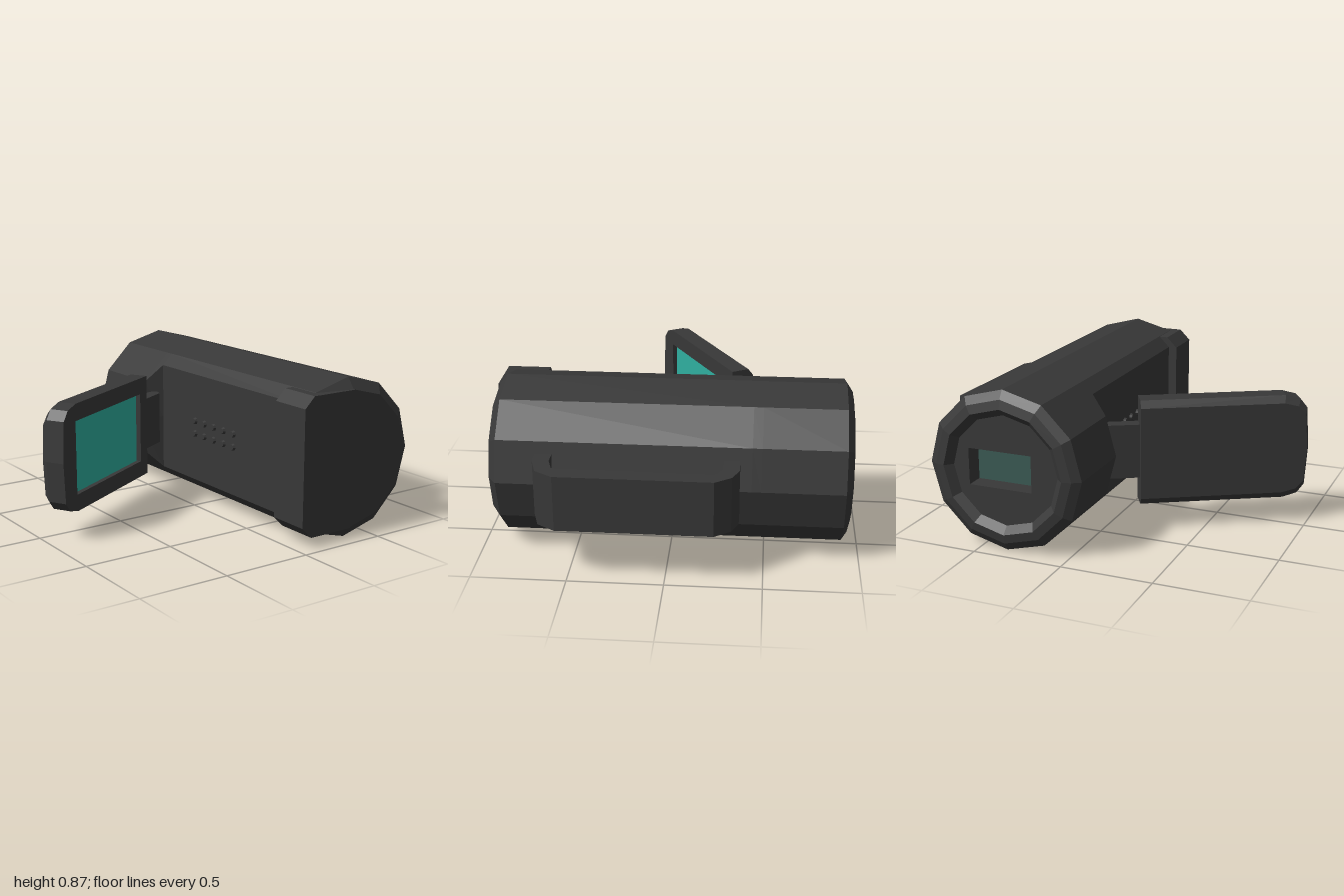
import * as THREE from 'three';

const CX = 0.35, CY = 0.435, CUT = 0.07;
const mat = (color) => new THREE.MeshStandardMaterial({ color, flatShading: true });
const dark = mat(0x383838);
const teal = mat(0x2fb0a0);
const dimTeal = mat(0x3a5a54);

function add(parent, name, geometry, material = dark) {
  const mesh = new THREE.Mesh(geometry, material);
  mesh.name = name;
  parent.add(mesh);
  return mesh;
}

const toShape = (pts) => new THREE.Shape(pts.map(([x, y]) => new THREE.Vector2(x, y)));

const rectPath = (x0, y0, x1, y1) =>
  new THREE.Path([[x0, y0], [x0, y1], [x1, y1], [x1, y0]].map((p) => new THREE.Vector2(...p)));

function extrudeZ(shape, z0, z1) {
  return new THREE.ExtrudeGeometry(shape, { depth: z1 - z0, bevelEnabled: false }).translate(0, 0, z0);
}

// Plan outline given as [x, z], extruded upward from y0 to y1
function extrudeY(pts, y0, y1) {
  return extrudeZ(toShape(pts.map(([x, z]) => [x, -z])), y0, y1).rotateX(-Math.PI / 2);
}

// Skin through counter-clockwise rings { z, pts }, from low to high z
function loft(rings, capStart, capEnd) {
  const pos = [];
  const n = rings[0].pts.length;
  const at = (r, i) => [...r.pts[i % n], r.z];
  const cap = (r, flip) => {
    const c = [0, 1].map((k) => r.pts.reduce((s, p) => s + p[k], 0) / n);
    for (let i = 0; i < n; i++) {
      const a = at(r, i), b = at(r, i + 1);
      pos.push(...c, r.z, ...(flip ? b : a), ...(flip ? a : b));
    }
  };
  for (let k = 0; k + 1 < rings.length; k++) {
    for (let i = 0; i < n; i++) {
      const a = at(rings[k], i), b = at(rings[k], i + 1);
      const c = at(rings[k + 1], i + 1), d = at(rings[k + 1], i);
      pos.push(...a, ...b, ...c, ...a, ...c, ...d);
    }
  }
  if (capStart) cap(rings[0], true);
  if (capEnd) cap(rings[rings.length - 1], false);
  const g = new THREE.BufferGeometry();
  g.setAttribute('position', new THREE.Float32BufferAttribute(pos, 3));
  g.computeVertexNormals();
  return g;
}

// Twelve-sided ring; when cut, its right side is sliced flat at x = CUT
function bodyRing(z, r, cut = false) {
  const pts = [];
  for (let i = 0; i < 12; i++) {
    const a = (i * Math.PI) / 6;
    let x = CX + r * Math.cos(a), y = r * Math.sin(a);
    if (cut && x < CUT) {
      x = CUT;
      y = (6 - i) * (r * 0.866 - (CX - 0.5 * r - CUT));
    }
    pts.push([x, CY + y]);
  }
  return { z, pts };
}

function addBody(model) {
  add(model, 'body', loft([
    bodyRing(-0.91, 0.3), bodyRing(-0.95, 0.34), bodyRing(-0.94, 0.39), bodyRing(-0.91, 0.435),
    bodyRing(-0.48, 0.435), bodyRing(-0.43, 0.435, true),
    bodyRing(0.89, 0.435, true), bodyRing(0.935, 0.375, true),
  ], false, true));

  // Rear face with the recessed eyepiece window
  const rear = toShape(bodyRing(0, 0.3).pts);
  rear.holes.push(rectPath(CX - 0.15, CY - 0.1, CX + 0.21, CY + 0.1));
  add(model, 'eyepieceFrame', extrudeZ(rear, -0.91, -0.81));
  add(model, 'eyepieceScreen', new THREE.BoxGeometry(0.38, 0.22, 0.02).translate(CX + 0.03, CY, -0.8), dimTeal);

  // Block wrapping the front right corner
  add(model, 'lensCover', extrudeZ(toShape([
    [0.02, 0.12], [0.08, 0.06], [CX, 0.06], [CX, 0.81], [0.08, 0.81], [0.02, 0.75],
  ]), 0.71, 0.945));

  // Two rows of small buttons on the flat side
  for (let i = 0; i < 5; i++) {
    for (const y of [0.4, 0.475]) {
      const button = add(model, 'sideButton', new THREE.CylinderGeometry(0.016, 0.022, 0.02, 8));
      button.rotation.z = Math.PI / 2;
      button.position.set(CUT - 0.005, y, -0.09 + i * 0.0925);
    }
  }
}

function addStrap(model) {
  add(model, 'handStrap', extrudeY([
    [0.74, -0.37], [0.86, -0.37], [0.94, -0.335], [1, -0.25], [1, 0.55], [0.94, 0.645], [0.83, 0.68], [0.74, 0.68],
    [0.74, 0.595], [0.82, 0.595], [0.9, 0.57], [0.91, 0.55], [0.91, -0.24], [0.9, -0.26], [0.85, -0.285], [0.74, -0.285],
  ], 0.29, 0.59));
}

function addDisplay(model) {
  add(model, 'displayHinge', extrudeY([
    [-0.19, -0.36], [-0.02, -0.455], [0.015, -0.458], [0.035, -0.43], [0.02, -0.395], [-0.15, -0.298],
  ], 0.29, 0.59));

  // Panel space: x runs back to the hinge end at 0, z is thickness
  const display = new THREE.Group();
  display.name = 'display';
  display.position.set(-0.2, 0.4375, -0.41);
  display.rotation.y = Math.PI / 6;
  model.add(display);

  const upper = [[0, 0.292], [-0.79, 0.292], [-0.87, 0.27], [-0.91, 0.22], [-0.925, 0]];
  const outline = [...upper, ...upper.slice(0, 4).reverse().map(([x, y]) => [x, -y])];
  const inset = outline.map(([x, y]) => [x * 0.985, y * 0.87]);
  add(display, 'displayBack', loft([
    { z: 0, pts: inset }, { z: 0.03, pts: outline }, { z: 0.1, pts: outline },
  ], true, true));

  const frame = toShape(outline);
  frame.holes.push(rectPath(-0.796, -0.2, -0.08, 0.2));
  add(display, 'displayFrame', extrudeZ(frame, 0.1, 0.133));
  add(display, 'displayScreen', new THREE.BoxGeometry(0.716, 0.4, 0.01).translate(-0.438, 0, 0.1), teal);
}

export function createModel() {
  const model = new THREE.Group();
  model.name = 'camcorder';
  addBody(model);
  addStrap(model);
  addDisplay(model);
  return model;
}
